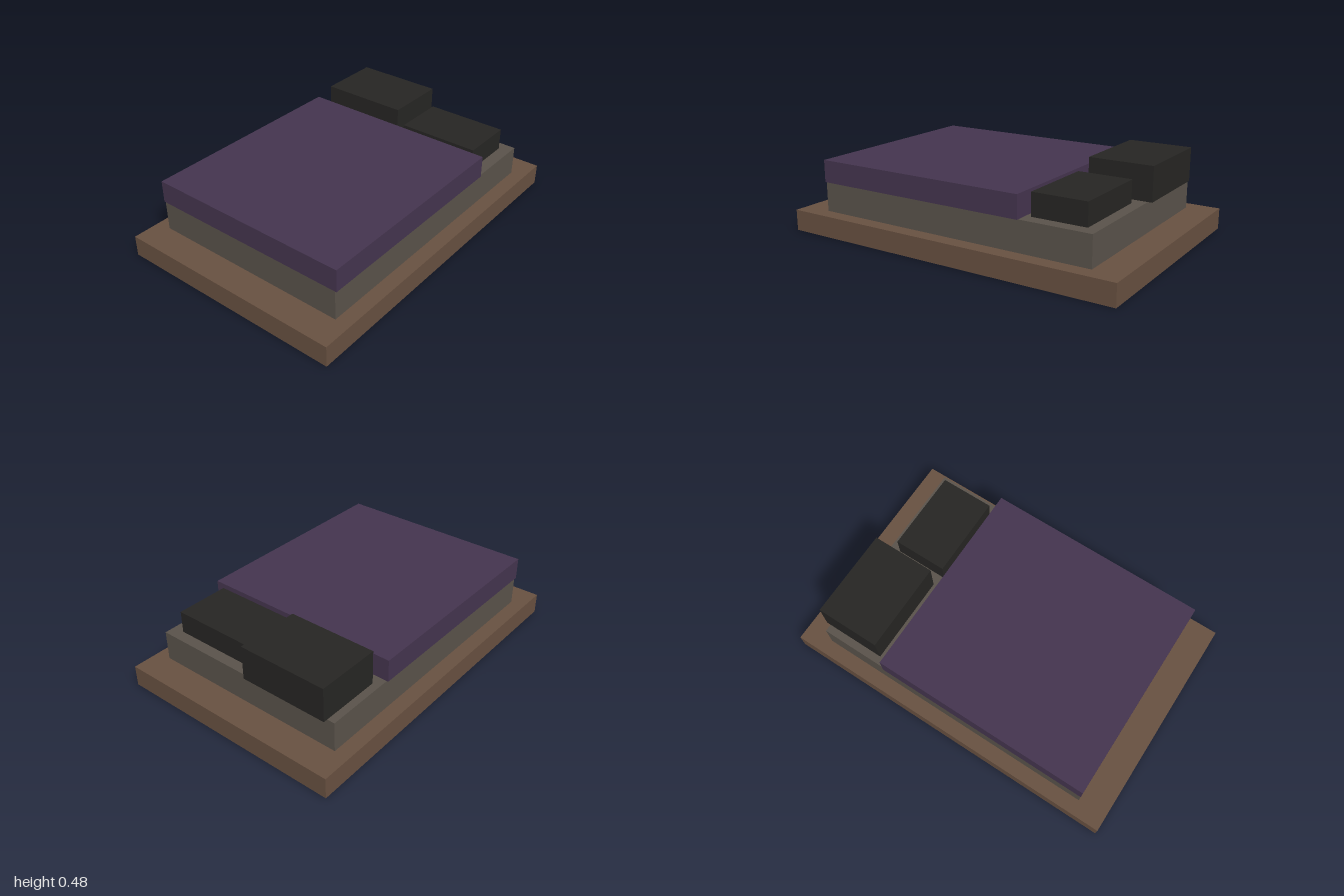
import * as THREE from 'three';

// Box given by its extents on each axis
function block(name, color, [x0, x1], [y0, y1], [z0, z1]) {
  const mesh = new THREE.Mesh(
    new THREE.BoxGeometry(x1 - x0, y1 - y0, z1 - z0),
    new THREE.MeshStandardMaterial({ color })
  );
  mesh.position.set((x0 + x1) / 2, (y0 + y1) / 2, (z0 + z1) / 2);
  mesh.name = name;
  return mesh;
}

export function createModel() {
  const bed = new THREE.Group();
  bed.name = 'bed';
  const frameTop = 0.12, mattressTop = 0.29, blanketTop = 0.417;

  bed.add(
    // Wide, low platform
    block('frame', 0x675040, [-0.667, 0.667], [0, frameTop], [-1, 1]),
    block('mattress', 0x59524a, [-0.583, 0.583], [frameTop, mattressTop], [-0.833, 0.833]),
    // Blanket slightly overhangs the mattress sides
    block('blanket', 0x44344e, [-0.592, 0.592], [mattressTop, blanketTop], [-0.433, 0.834]),
    // Two unequal pillows at the head
    block('rightPillow', 0x262523, [-0.54, -0.025], [mattressTop, 0.483], [-0.857, -0.49]),
    block('leftPillow', 0x262523, [0.04, 0.513], [mattressTop, 0.416], [-0.771, -0.463])
  );
  return bed;
}
